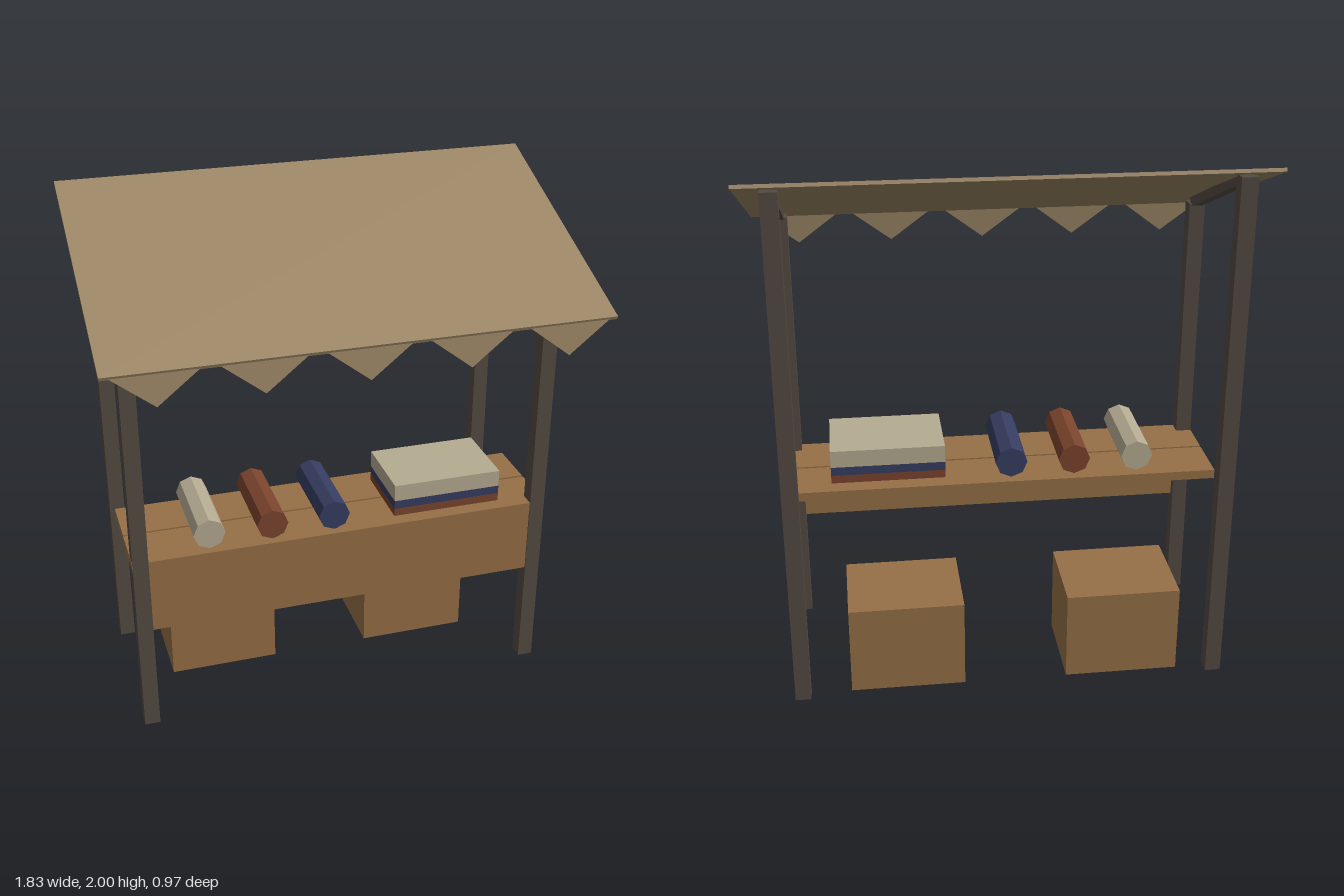
import * as THREE from 'three';

const mat = (name, color, side = THREE.FrontSide) => {
  const m = new THREE.MeshStandardMaterial({ color, side, flatShading: true });
  m.name = name;
  return m;
};

export function createModel() {
  const canvas = mat('canvas', 0x9c8766, THREE.DoubleSide);
  const wood = mat('wood', 0x966f47);
  const darkWood = mat('darkWood', 0x544b42);
  const cream = mat('creamCloth', 0xb5ab92);
  const red = mat('redCloth', 0x7b442d);
  const blue = mat('blueCloth', 0x363d61);

  const model = new THREE.Group();
  model.name = 'marketStall';

  const add = (name, geometry, material, x, y, z) => {
    const mesh = new THREE.Mesh(geometry, material);
    mesh.name = name;
    mesh.position.set(x, y, z);
    model.add(mesh);
    return mesh;
  };
  // Box given by its extents along each axis
  const box = (name, material, [x0, x1], [y0, y1], [z0, z1]) =>
    add(name, new THREE.BoxGeometry(x1 - x0, y1 - y0, z1 - z0), material,
      (x0 + x1) / 2, (y0 + y1) / 2, (z0 + z1) / 2);

  // Posts and sloping rafters
  for (const [side, x] of [['left', 0.795], ['right', -0.795]]) {
    const across = [x - 0.03, x + 0.03];
    box(side + 'FrontPost', darkWood, across, [0, 1.705], [0.15, 0.21]);
    box(side + 'BackPost', darkWood, across, [0, 1.97], [-0.477, -0.417]);
    const rise = 0.258, run = 0.627;
    const rafter = add(side + 'Rafter',
      new THREE.BoxGeometry(0.04, 0.035, Math.hypot(rise, run)), darkWood, x, 1.834, -0.1335);
    rafter.rotation.x = Math.atan2(rise, run);
  }

  // Canvas roof
  const roof = add('roof', new THREE.BoxGeometry(1.83, 0.013, 1.03), canvas, 0, 1.81, -0.005);
  roof.rotation.x = THREE.MathUtils.degToRad(21);

  // Pointed valance along the front edge
  const flap = new THREE.Shape([
    new THREE.Vector2(-0.15, 0), new THREE.Vector2(0, -0.115), new THREE.Vector2(0.15, 0),
  ]);
  const flapGeometry = new THREE.ExtrudeGeometry(flap, { depth: 0.006, bevelEnabled: false });
  for (let i = -2; i <= 2; i++) {
    const mesh = add('valanceFlap', flapGeometry, canvas, i * 0.367, 1.622, 0.469);
    mesh.rotation.x = -0.09;
  }

  // Counter planks and front panel
  box('frontPlank', wood, [-0.826, 0.826], [0.71, 0.745], [0.0, 0.208]);
  box('backPlank', wood, [-0.826, 0.826], [0.71, 0.745], [-0.216, -0.01]);
  box('frontPanel', wood, [-0.767, 0.767], [0.44, 0.71], [0.18, 0.206]);

  // Crates under the counter
  for (const x of [-0.437, 0.393]) {
    box('crate', wood, [x - 0.218, x + 0.218], [0, 0.35], [-0.44, -0.09]);
  }

  // Rolls of cloth
  const roll = new THREE.CylinderGeometry(0.061, 0.061, 0.35, 8).rotateX(Math.PI / 2);
  [cream, red, blue].forEach((m, i) => add('clothRoll', roll, m, -0.525 + i * 0.244, 0.805, 0));

  // Stack of folded cloth
  const levels = [0.745, 0.777, 0.811, 0.849, 0.878];
  [red, blue, cream, cream].forEach((m, i) =>
    box('foldedCloth', m, [0.215, 0.65], [levels[i], levels[i + 1]], [-0.15, 0.15]));

  return model;
}
